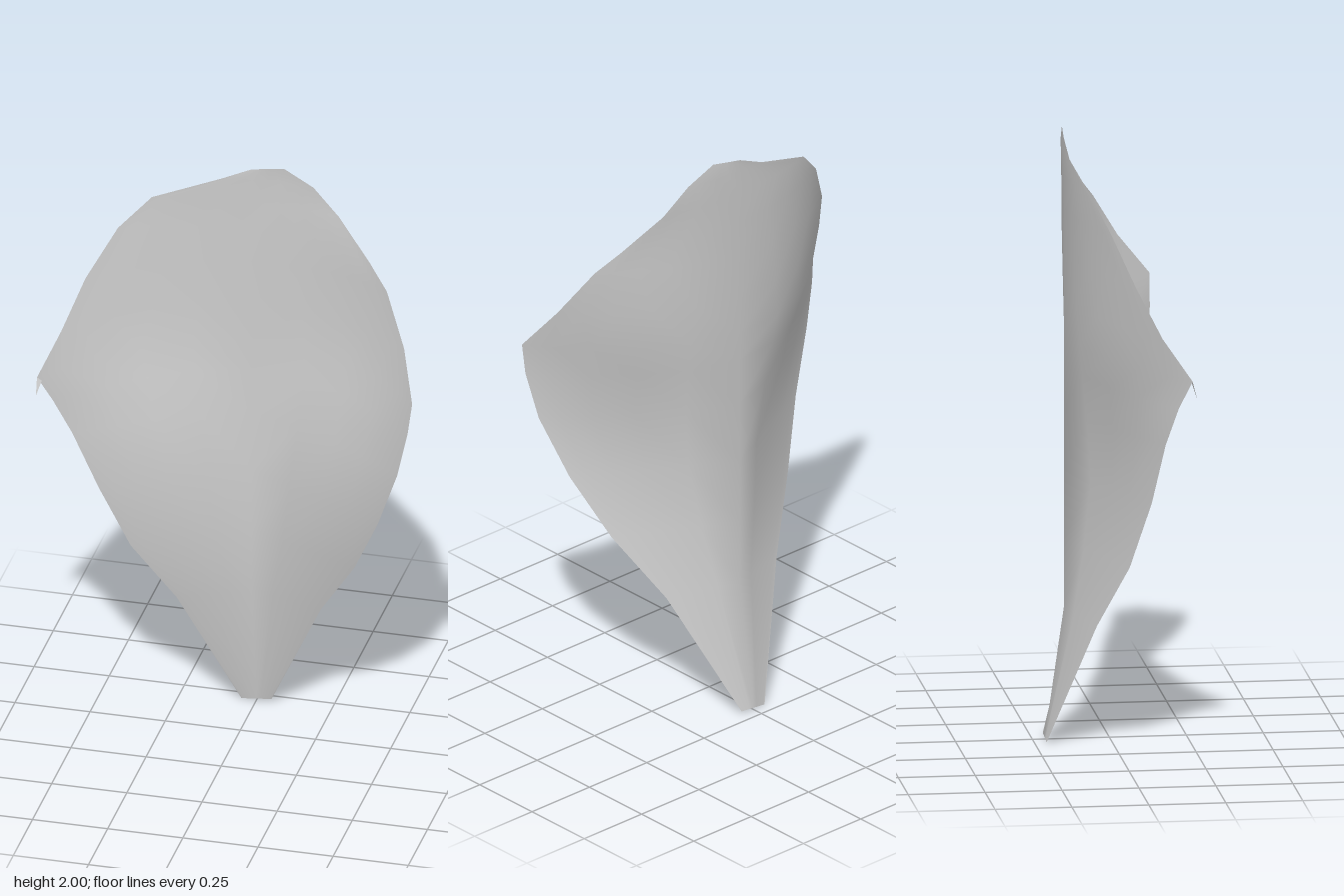
import * as THREE from 'three';

// Matching rows from base to tip: right rim, left rim and the spine between them.
const rightRim = [
  [0.05, 0.01, -0.21], [0.25, 0.44, -0.07], [0.39, 0.67, 0.04], [0.49, 0.89, 0.13],
  [0.57, 1.11, 0.19], [0.61, 1.28, 0.21], [0.625, 1.39, 0.21], [0.57, 1.53, 0.1],
  [0.49, 1.68, 0.01], [0.42, 1.75, -0.04], [0.3, 1.865, -0.11], [0.21, 1.95, -0.13], [0.11, 2, -0.14],
];
const leftRim = [
  [-0.05, 0, -0.21], [-0.23, 0.42, -0.07], [-0.36, 0.64, 0.02], [-0.45, 0.87, 0.08],
  [-0.53, 1.08, 0.115], [-0.585, 1.21, 0.15], [-0.628, 1.31, 0.19], [-0.57, 1.44, 0.1],
  [-0.51, 1.6, 0.02], [-0.42, 1.76, -0.05], [-0.32, 1.86, -0.1], [-0.1, 1.935, -0.142], [0, 1.98, -0.147],
];
const spine = [
  [0, 0.005, -0.21], [0, 0.44, -0.147], [0, 0.66, -0.147], [0, 0.88, -0.147], [0, 1.09, -0.147],
  [0, 1.25, -0.147], [0, 1.35, -0.147], [0, 1.48, -0.147], [0, 1.64, -0.147], [0, 1.755, -0.147],
  [0, 1.86, -0.147], [0.05, 1.94, -0.147], [0.055, 1.99, -0.144],
];
// Cross-section of each row: 1 is a straight V, higher is a flat middle with steep sides.
const cup = [1, 1, 1, 1, 1.3, 1.75, 2.1, 2.2, 2.2, 2.1, 2, 1.6, 1];
// Columns across the petal, from left rim (-1) to right rim (1).
const columns = [-1, -0.9, -0.75, -0.55, -0.3, 0, 0.3, 0.55, 0.75, 0.9, 1];

function petalPoint(row, u) {
  const s = spine[row];
  const rim = u < 0 ? leftRim[row] : rightRim[row];
  const t = Math.abs(u);
  return [
    s[0] + (rim[0] - s[0]) * t,
    s[1] + (rim[1] - s[1]) * t,
    s[2] + (rim[2] - s[2]) * t ** cup[row],
  ];
}

function petalGeometry() {
  const n = columns.length;
  const points = spine.flatMap((_, r) => columns.flatMap((u) => petalPoint(r, u)));
  const index = [];
  for (let r = 0; r < spine.length - 1; r++) {
    for (let c = 0; c < n - 1; c++) {
      const a = r * n + c, b = a + 1, d = a + n, e = d + 1;
      // Diagonals mirror about the spine
      if (columns[c] < 0) index.push(a, b, d, b, e, d);
      else index.push(a, b, e, a, e, d);
    }
  }
  const g = new THREE.BufferGeometry();
  g.setAttribute('position', new THREE.Float32BufferAttribute(points, 3));
  g.setIndex(index);
  g.computeVertexNormals();
  return g;
}

export function createModel() {
  const group = new THREE.Group();
  group.name = 'petal';
  const grey = new THREE.MeshStandardMaterial({ color: 0xcccccc, side: THREE.DoubleSide });
  grey.name = 'light grey';

  // Cupped blade
  const blade = new THREE.Mesh(petalGeometry(), grey);
  blade.name = 'petalBlade';
  group.add(blade);

  // Small curled lip at the widest point of one edge
  const lipGeometry = new THREE.BufferGeometry();
  lipGeometry.setAttribute('position', new THREE.Float32BufferAttribute([
    -0.628, 1.31, 0.19, -0.628, 1.25, 0.205, -0.612, 1.3, 0.19,
  ], 3));
  lipGeometry.computeVertexNormals();
  const lip = new THREE.Mesh(lipGeometry, grey);
  lip.name = 'curledLip';
  group.add(lip);

  return group;
}
